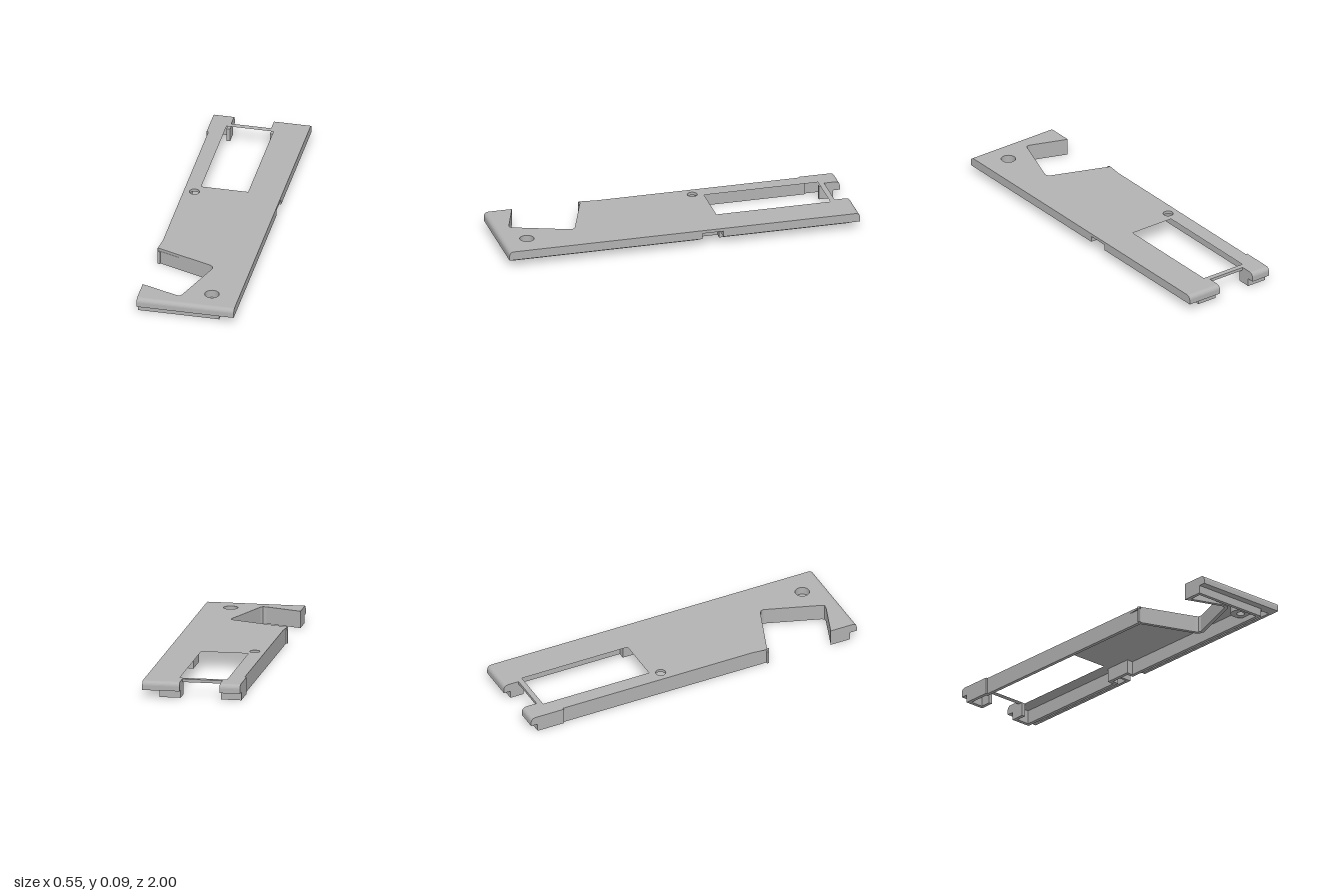
import * as THREE from 'three';

const TOP = 0.095, CEIL = 0.078, RIM = 0.045, WALL = 0.02;

export function createModel() {
  const model = new THREE.Group();
  const grey = new THREE.MeshStandardMaterial({ color: 0xb2b2b2 });
  grey.name = 'plain grey';

  const add = (name, geometry) => {
    const mesh = new THREE.Mesh(geometry, grey);
    mesh.name = name;
    model.add(mesh);
    return mesh;
  };
  const box = (name, x0, x1, y0, y1, z0, z1) =>
    add(name, new THREE.BoxGeometry(x1 - x0, y1 - y0, z1 - z0)
      .translate((x0 + x1) / 2, (y0 + y1) / 2, (z0 + z1) / 2));
  // Plan outlines are [x, z] pairs, extruded upwards
  const plan = pts => pts.map(([x, z]) => new THREE.Vector2(x, -z));
  const circle = (x, z, r) => new THREE.Path().absarc(x, -z, r, 0, Math.PI * 2);
  const slab = (shape, y0, y1) =>
    new THREE.ExtrudeGeometry(shape, { depth: y1 - y0, bevelEnabled: false, curveSegments: 16 })
      .rotateX(-Math.PI / 2).translate(0, y0, 0);

  // Angled cutout with rounded inner corners, from its front edge to its back edge
  const cutout = [[-0.07, 0.912], [-0.05, 0.914], [-0.04, 0.9],
    [0.066, 0.595], [0.062, 0.577], [0.045, 0.566]];

  // Top plate with window and screw holes
  const plate = new THREE.Shape(plan([
    [0.273, 0.94], [-0.275, 0.94], [-0.275, 0.84], ...cutout,
    [-0.275, 0.45], [-0.275, 0.46], [-0.265, 0.465], [-0.265, -0.8], [-0.275, -0.8],
    [-0.275, -0.94], [-0.16, -0.94], [-0.16, -0.91], [0.065, -0.91], [0.065, -0.94],
    [0.273, -0.94]]));
  plate.holes.push(
    new THREE.Path(plan([[-0.18, -0.88], [0.085, -0.88], [0.085, -0.23], [-0.18, -0.23]])),
    circle(-0.205, -0.17, 0.028), circle(0.12, 0.86, 0.04));
  add('topPlate', slab(plate, CEIL, TOP));

  // Rounded end lips, extruded across the width
  const lip = (name, side, x0, x1) => {
    const r = 0.025, pts = [[0.94, RIM], [1, RIM]];
    for (let i = 0; i <= 6; i++) {
      const a = i / 6 * Math.PI / 2;
      pts.push([1 - r + r * Math.cos(a), TOP - r + r * Math.sin(a)]);
    }
    pts.push([0.94, TOP]);
    const shape = new THREE.Shape(pts.map(([z, y]) => new THREE.Vector2(side * z, y)));
    add(name, new THREE.ExtrudeGeometry(shape, { depth: x1 - x0, bevelEnabled: false })
      .rotateY(-Math.PI / 2).translate(x1, 0, 0));
  };
  lip('frontLip', 1, -0.275, 0.273);
  lip('backLipRight', -1, -0.275, -0.16);
  lip('backLipLeft', -1, 0.065, 0.273);

  // Continuous lower wall: an open path thickened inwards with mitred corners
  const path = [[0.065, -0.88], [0.065, -0.96], [0.183, -0.96], [0.183, -0.22],
    [0.145, -0.22], [0.145, -0.1], [0.183, -0.1], [0.183, 0.96], [-0.275, 0.96],
    [-0.275, 0.84], ...cutout, [-0.265, 0.454], [-0.265, -0.8], [-0.275, -0.8],
    [-0.275, -0.96], [-0.16, -0.96], [-0.16, -0.88]];
  const normal = i => {
    const [a, b] = [path[i], path[i + 1]];
    const l = Math.hypot(b[0] - a[0], b[1] - a[1]);
    return [-(b[1] - a[1]) / l, (b[0] - a[0]) / l];
  };
  const inner = path.map(([x, z], i) => {
    const m = normal(Math.max(i - 1, 0)), n = normal(Math.min(i, path.length - 2));
    const k = WALL / (1 + m[0] * n[0] + m[1] * n[1]);
    return [x + (m[0] + n[0]) * k, z + (m[1] + n[1]) * k];
  });
  add('lowerWall', slab(new THREE.Shape(plan([...path, ...inner.reverse()])), 0, CEIL));
  box('cornerNub', -0.275, -0.26, 0, CEIL, 0.45, 0.462);

  // Left rim, interrupted by a latch notch with cross walls
  for (const [z0, z1, c0] of [[-0.94, -0.22, -0.235], [-0.1, 0.94, -0.1]]) {
    box('leftRim', 0.255, 0.273, RIM, CEIL, z0, z1);
    box('notchWall', 0.175, 0.256, RIM, CEIL, c0, c0 + 0.015);
  }

  // Recessed screw boss
  const ring = (name, rOut, rIn, y0, y1) => {
    const s = new THREE.Shape().absarc(0.12, -0.86, rOut, 0, Math.PI * 2);
    s.holes.push(circle(0.12, 0.86, rIn));
    add(name, slab(s, y0, y1));
  };
  ring('screwBoss', 0.055, 0.04, 0.03, CEIL);
  ring('screwSeat', 0.041, 0.022, 0.03, 0.05);

  return model;
}
